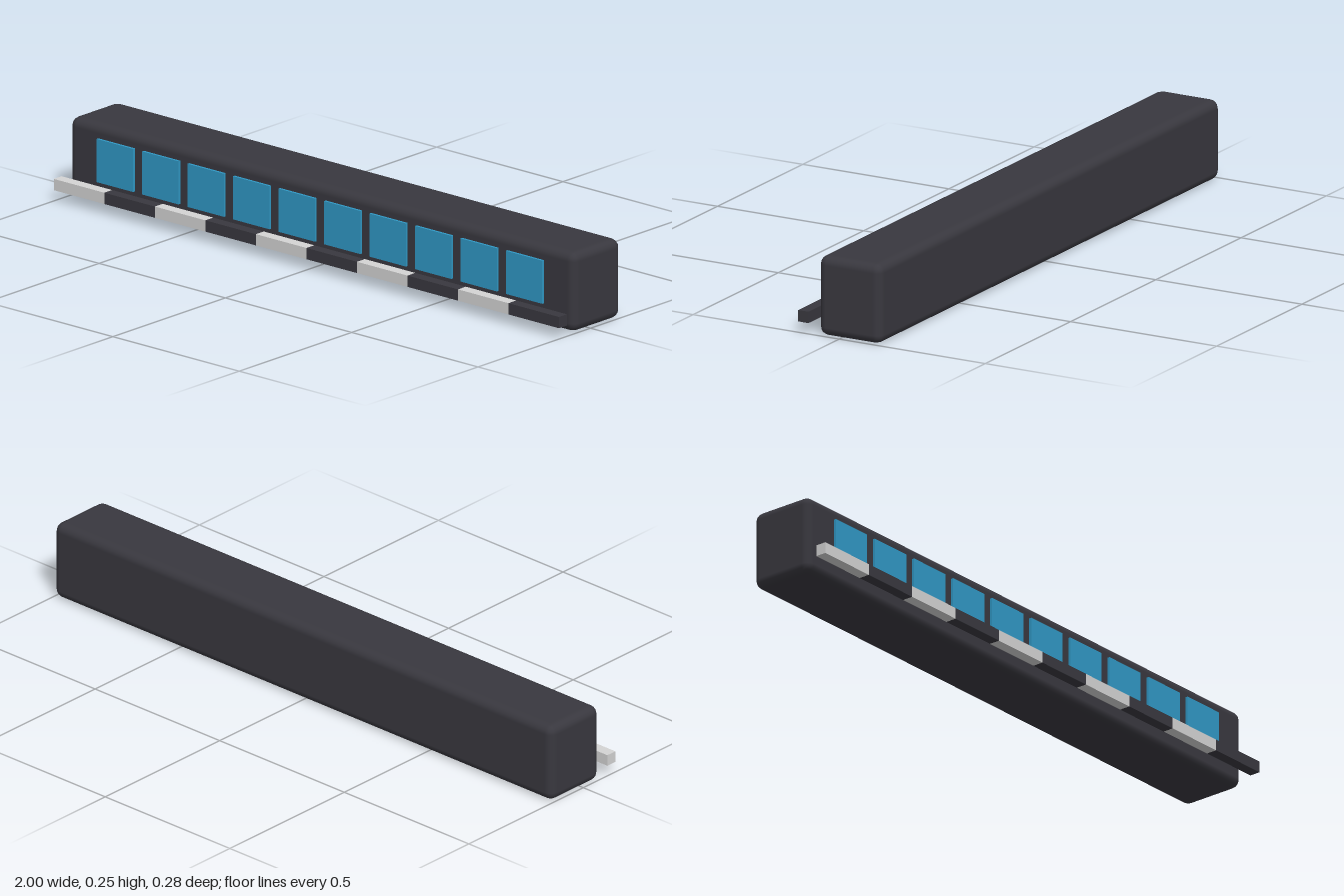
import * as THREE from 'three';
import { RoundedBoxGeometry } from 'three/addons/geometries/RoundedBoxGeometry.js';

function material(name, color) {
  const m = new THREE.MeshStandardMaterial({ color });
  m.name = name;
  return m;
}

export function createModel() {
  const group = new THREE.Group();
  const charcoal = material('charcoal', 0x39383f);
  const lightGrey = material('light grey', 0xd4d4d4);
  const glassBlue = material('glass blue', 0x3098c5);

  const add = (name, geometry, mat, x, y, z) => {
    const mesh = new THREE.Mesh(geometry, mat);
    mesh.name = name;
    mesh.position.set(x, y, z);
    group.add(mesh);
  };

  // Long body with softly rounded edges
  add('body', new RoundedBoxGeometry(2, 0.246, 0.214, 2, 0.027), charcoal, 0, 0.123, -0.033);

  // Row of ten glass panes along the front
  const pane = new THREE.BoxGeometry(0.144, 0.134, 0.009);
  // Ten alternating bar segments floating ahead of the body
  const segment = new THREE.BoxGeometry(0.2, 0.035, 0.035);
  for (let i = 0; i < 10; i++) {
    const step = i - 4.5;
    add(`window${i + 1}`, pane, glassBlue, step * 0.18, 0.137, 0.0775);
    add(`barSegment${i + 1}`, segment, i % 2 ? charcoal : lightGrey, step * 0.2, 0.051, 0.1225);
  }

  return group;
}
